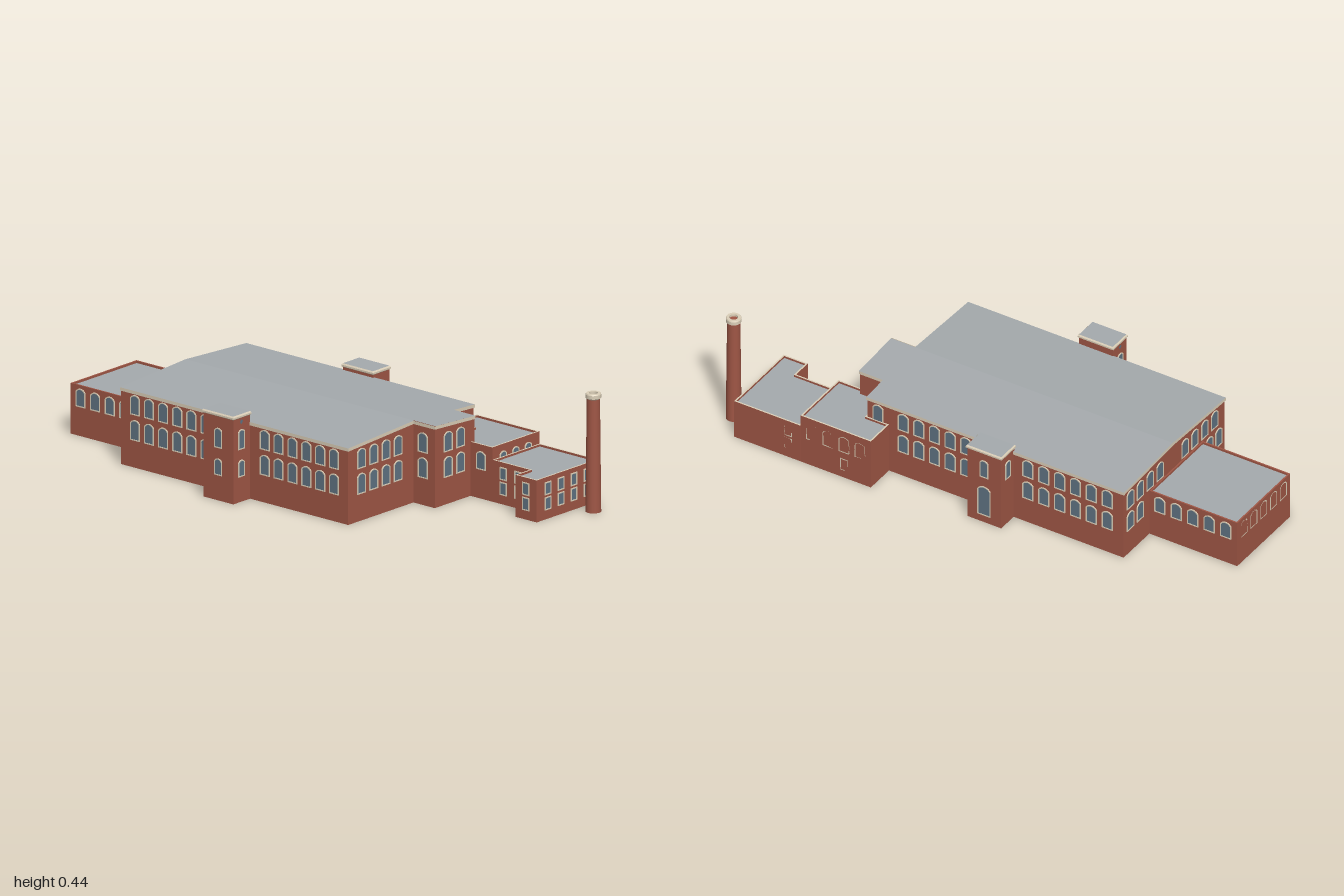
import * as THREE from 'three';
import { mergeGeometries } from 'three/addons/utils/BufferGeometryUtils.js';

const mat = (color) => new THREE.MeshStandardMaterial({ color, side: THREE.DoubleSide });
const BRICK = mat(0x9f5645), ROOF = mat(0xa5aaad), CREAM = mat(0xdbcfb8), GLASS = mat(0x5f7282);

function add(parent, name, geometry, material) {
  const m = new THREE.Mesh(geometry, material);
  m.name = name;
  parent.add(m);
  return m;
}

function addGroup(parent, name) {
  const g = new THREE.Group();
  g.name = name;
  parent.add(g);
  return g;
}

// Footprints are [x, z] loops running counter-clockwise seen from above
const rect = (x0, x1, z0, z1) => [[x0, z1], [x1, z1], [x1, z0], [x0, z0]];

// Moves every side of a footprint outward by d
function grow(pts, d) {
  const n = pts.length;
  const normal = (a, b) => {
    const dx = b[0] - a[0], dz = b[1] - a[1], l = Math.hypot(dx, dz);
    return [-dz / l, dx / l];
  };
  return pts.map((p, i) => {
    const a = normal(pts[(i + n - 1) % n], p), b = normal(p, pts[(i + 1) % n]);
    const k = d / (1 + a[0] * b[0] + a[1] * b[1]);
    return [p[0] + k * (a[0] + b[0]), p[1] + k * (a[1] + b[1])];
  });
}

// Band of wall quads from a lower loop to an upper loop; heights are functions of z
function band(lower, upper, lowY, highY) {
  const pos = [];
  lower.forEach((p, i) => {
    const j = (i + 1) % lower.length;
    const a = [p[0], lowY(p[1]), p[1]];
    const b = [lower[j][0], lowY(lower[j][1]), lower[j][1]];
    const c = [upper[j][0], highY(upper[j][1]), upper[j][1]];
    const d = [upper[i][0], highY(upper[i][1]), upper[i][1]];
    pos.push(...a, ...b, ...c, ...a, ...c, ...d);
  });
  const g = new THREE.BufferGeometry();
  g.setAttribute('position', new THREE.Float32BufferAttribute(pos, 3));
  g.computeVertexNormals();
  return g;
}

const toShape = (pts) => new THREE.Shape(pts.map(([x, z]) => new THREE.Vector2(x, -z)));

// Roof surface filling a footprint, height a function of z
function roofSurface(pts, heightY) {
  const g = new THREE.ShapeGeometry(toShape(pts)).rotateX(-Math.PI / 2);
  const p = g.attributes.position;
  for (let i = 0; i < p.count; i++) p.setY(i, heightY(p.getZ(i)));
  g.computeVertexNormals();
  return g;
}

// Outline of a window, with a shallow arch if rise > 0
function windowOutline(w, h, rise) {
  const s = new THREE.Shape();
  s.moveTo(-w / 2, -h / 2);
  s.lineTo(w / 2, -h / 2);
  s.lineTo(w / 2, h / 2 - rise);
  if (rise > 0) {
    const r = (w * w / 4 + rise * rise) / (2 * rise), a = Math.asin(w / 2 / r);
    s.absarc(0, h / 2 - r, r, Math.PI / 2 - a, Math.PI / 2 + a, false);
  } else s.lineTo(-w / 2, h / 2);
  s.closePath();
  return s;
}

// Facing directions as turns about y
const FRONT = 0, LEFT = Math.PI / 2, BACK = Math.PI, RIGHT = -Math.PI / 2;

// Rows of equal windows on one wall: plane = wall position, along = x or z of each window
function windows(parent, facing, plane, along, rows, w = 0.045, arched = true) {
  const frames = [], panes = [];
  for (const [y0, y1] of rows) {
    const h = y1 - y0, rise = arched ? w * 0.28 : 0, t = 0.004;
    const outer = windowOutline(w, h, rise), inner = windowOutline(w - 2 * t, h - 2 * t, rise * 0.9);
    outer.holes.push(new THREE.Path(inner.getPoints(8)));
    for (const a of along) {
      const onZ = facing === FRONT || facing === BACK;
      const place = (g) => g.rotateY(facing).translate(onZ ? a : plane, (y0 + y1) / 2, onZ ? plane : a);
      frames.push(place(new THREE.ExtrudeGeometry(outer, { depth: 0.003, bevelEnabled: false, curveSegments: 8 })));
      panes.push(place(new THREE.ShapeGeometry(inner, 8).translate(0, 0, 0.0015)));
    }
  }
  add(parent, 'windowFrames', mergeGeometries(frames), CREAM);
  add(parent, 'windowPanes', mergeGeometries(panes), GLASS);
}

const spread = (start, step, n) => Array.from({ length: n }, (_, i) => start + step * i);
const level = (y) => () => y;
const LOW = [0.1, 0.176], HIGH = [0.194, 0.268], ANNEX = [0.107, 0.175];
const SMALL = [[0.034, 0.082], [0.09, 0.137]];

// Flat-roofed building with a thin parapet
function flatBuilding(parent, name, pts, h, coping) {
  const g = addGroup(parent, name), inside = grow(pts, -0.006);
  add(g, 'walls', band(pts, pts, level(0), level(h)), BRICK);
  add(g, 'parapetInside', band(inside, inside, level(h - 0.008), level(h)), BRICK);
  const ring = toShape(pts);
  ring.holes.push(toShape(inside));
  add(g, 'coping', new THREE.ShapeGeometry(ring).rotateX(-Math.PI / 2).translate(0, h, 0), coping);
  add(g, 'roof', roofSurface(inside, level(h - 0.008)), ROOF);
  return g;
}

// Stair tower with a bevelled cream cap
function tower(parent, name, x0, x1, z0, z1, h) {
  const g = addGroup(parent, name), pts = rect(x0, x1, z0, z1), wide = grow(pts, 0.004);
  add(g, 'walls', band(pts, pts, level(0), level(h - 0.012)), BRICK);
  const cap = [
    band(pts, wide, level(h - 0.014), level(h - 0.011)),
    band(wide, wide, level(h - 0.011), level(h - 0.005)),
    band(wide, pts, level(h - 0.005), level(h)),
  ];
  add(g, 'cap', mergeGeometries(cap), CREAM);
  add(g, 'roof', roofSurface(pts, level(h)), ROOF);
  return g;
}

export function createModel() {
  const model = new THREE.Group();
  model.name = 'brickFactory';

  // Main hall with a low gable, its ridge along x
  const hall = addGroup(model, 'mainHall');
  const top = (z) => 0.303 - 0.055 * Math.abs(z);
  const under = (z) => top(z) - 0.012;
  const W = -0.635, E = 0.43, B = 0.53, S = 0.347, N = -0.32;
  const plan = [[W, S], [E, S], [E, 0], [B, 0], [B, -0.21], [E, -0.21], [E, N], [W, N], [W, 0]];
  const eave = grow(plan, 0.003);
  add(hall, 'walls', band(plan, plan, level(0), top), BRICK);
  add(hall, 'cornice', band(eave, eave, under, top), CREAM);
  add(hall, 'corniceUnderside', band(plan, eave, under, under), CREAM);
  const e = 0.003;
  add(hall, 'roofFront', roofSurface(rect(W - e, E + e, 0, S + e), top), ROOF);
  add(hall, 'roofBack', roofSurface([[W - e, 0], [B + e, 0], [B + e, -0.21 - e], [E + e, -0.21 - e],
    [E + e, N - e], [W - e, N - e]], top), ROOF);
  windows(hall, FRONT, S, [...spread(-0.568, 0.066, 6), ...spread(0.04, 0.065, 6)], [LOW, HIGH]);
  windows(hall, FRONT, 0, [0.475], [LOW, HIGH]);
  windows(hall, LEFT, E, spread(0.083, 0.065, 4), [LOW, HIGH]);
  windows(hall, LEFT, B, [-0.07, -0.135], [LOW, HIGH]);
  windows(hall, LEFT, E, [-0.26], [HIGH]);
  windows(hall, BACK, N, [...spread(-0.568, 0.066, 6), ...spread(0.02, 0.065, 5)], [LOW, HIGH]);
  windows(hall, BACK, N, [0.385], [HIGH]);
  windows(hall, RIGHT, W, [...spread(-0.277, 0.065, 4), ...spread(0.083, 0.065, 4)], [HIGH]);
  windows(hall, RIGHT, W, [-0.277, -0.212, 0.245, 0.305], [LOW]);

  // Front and back towers
  const front = tower(model, 'frontTower', -0.17, -0.03, 0.347, 0.436, 0.324);
  const back = tower(model, 'backTower', -0.178, -0.037, -0.402, -0.315, 0.31);
  windows(front, FRONT, 0.436, [-0.1], [HIGH, [0.093, 0.155]], 0.036);
  windows(back, BACK, -0.402, [-0.107], [HIGH], 0.036);
  windows(back, BACK, -0.402, [-0.107], [[0.03, 0.155]], 0.055);
  for (const [facing, xf, xb] of [[LEFT, -0.03, -0.037], [RIGHT, -0.17, -0.178]]) {
    windows(front, facing, xf, [0.394], [HIGH, [0.093, 0.155]], 0.035);
    windows(back, facing, xb, [-0.36], [HIGH], 0.035);
    const vent = add(front, 'diamondVent', new THREE.CircleGeometry(0.009, 4), GLASS);
    vent.position.set(xf + Math.sign(facing) * 0.001, 0.296, 0.394);
    vent.rotation.y = facing;
  }

  // Low wing at the model's right
  const wing = flatBuilding(model, 'rightWing', rect(-1, W, -0.15, 0.2), 0.187, BRICK);
  const wingX = spread(-0.953, 0.0685, 5);
  windows(wing, FRONT, 0.2, wingX, [ANNEX]);
  windows(wing, BACK, -0.15, wingX, [ANNEX]);
  windows(wing, RIGHT, -0.997, spread(-0.105, 0.065, 5), [ANNEX]);

  // Two stepped annexes at the back left
  const annex = flatBuilding(model, 'upperAnnex', [[0.34, N], [E, N], [E, -0.19], [0.632, -0.19],
    [0.632, -0.44], [0.34, -0.44]], 0.2, CREAM);
  windows(annex, FRONT, -0.19, [0.58], [ANNEX]);
  windows(annex, BACK, -0.437, spread(0.385, 0.067, 4), [ANNEX]);
  windows(annex, BACK, -0.437, [0.452], [[0.03, 0.08]], 0.033, false);
  windows(annex, LEFT, 0.632, [-0.247, -0.314, -0.38], [ANNEX], 0.036);

  const low = flatBuilding(model, 'lowerAnnex', [[0.634, -0.19], [0.808, -0.19], [0.808, -0.113],
    [0.908, -0.113], [0.908, -0.44], [0.634, -0.44]], 0.155, CREAM);
  windows(low, FRONT, -0.19, [0.685, 0.754], SMALL, 0.033, false);
  windows(low, FRONT, -0.113, [0.858], SMALL, 0.033, false);
  windows(low, LEFT, 0.908, spread(-0.378, 0.0687, 4), SMALL, 0.033, false);
  windows(low, BACK, -0.437, spread(0.685, 0.084, 3), SMALL, 0.033, false);

  // Chimney with a cream collar
  const chimney = addGroup(model, 'chimney');
  chimney.position.set(0.971, 0, -0.343);
  add(chimney, 'shaft', new THREE.CylinderGeometry(0.0235, 0.028, 0.42, 20, 1, true).translate(0, 0.21, 0), BRICK);
  const collar = [[0.0235, 0.416], [0.028, 0.42], [0.028, 0.433], [0.026, 0.437], [0.016, 0.437], [0.016, 0.425]];
  const ringParts = collar.slice(1).map((p, i) =>
    new THREE.LatheGeometry([collar[i], p].map(([r, y]) => new THREE.Vector2(r, y)), 20));
  add(chimney, 'collar', mergeGeometries(ringParts), CREAM);
  add(chimney, 'flue', new THREE.CircleGeometry(0.017, 20).rotateX(-Math.PI / 2).translate(0, 0.428, 0), BRICK);

  return model;
}
